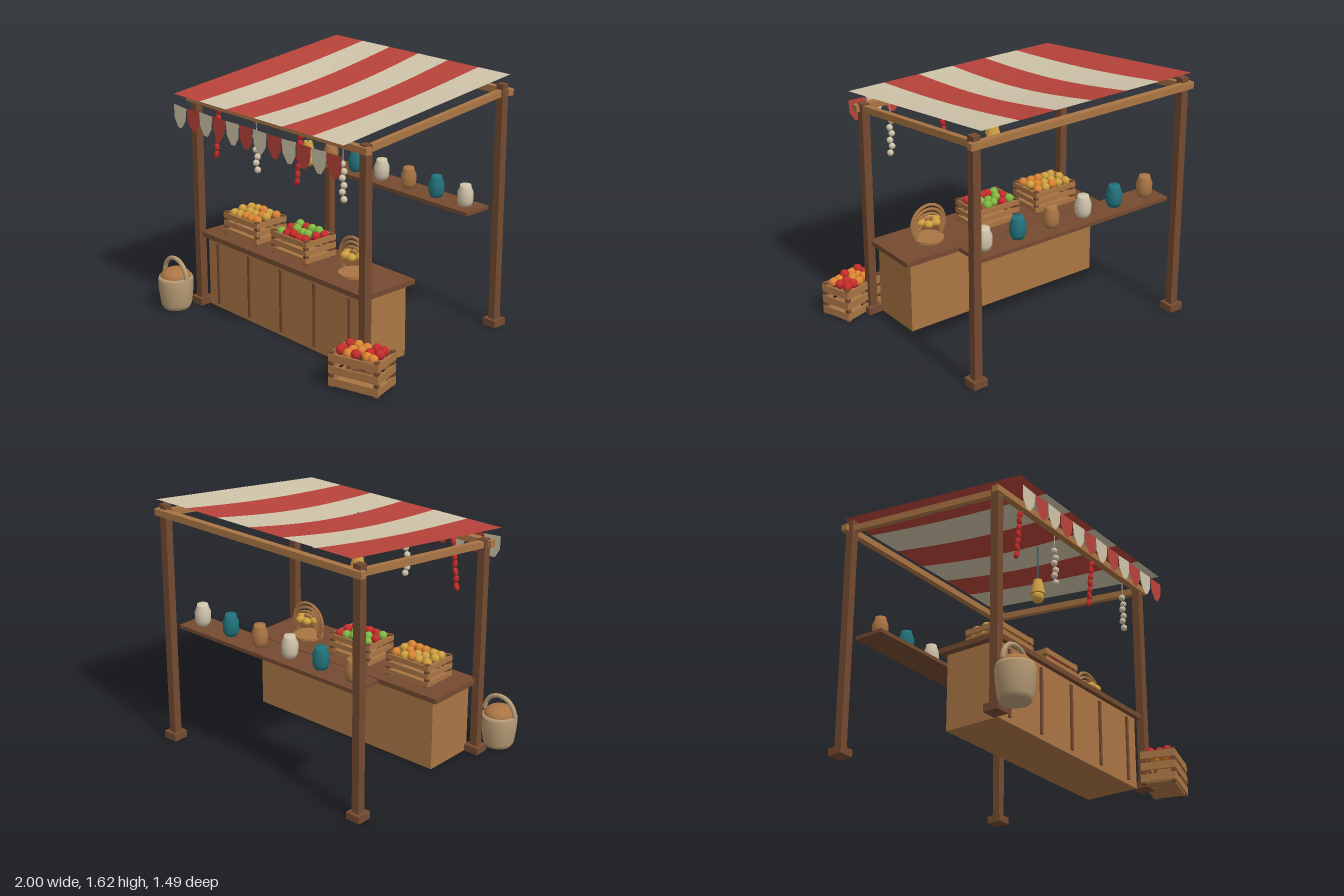
import * as THREE from 'three';

const mat = (name, color, side = THREE.FrontSide) => {
  const m = new THREE.MeshStandardMaterial({ color, side });
  m.name = name;
  return m;
};

export function createModel() {
  const root = new THREE.Group();
  root.name = 'marketStall';

  const darkWood = mat('dark wood', 0x744a30);
  const wood = mat('light wood', 0xaa7544);
  const redCloth = mat('red cloth', 0xb8433a, THREE.DoubleSide);
  const cream = mat('cream', 0xd0c4aa, THREE.DoubleSide);
  const teal = mat('teal', 0x22727a);
  const gold = mat('gold', 0xd0a040);
  const orange = mat('orange', 0xdc8432);
  const red = mat('fruit red', 0xc42c2a);
  const green = mat('fruit green', 0x82b842);
  const burlap = mat('burlap', 0xb89c76);

  let seed = 7;
  const rand = () => (seed = (seed * 16807) % 2147483647) / 2147483647;

  const add = (parent, name, geo, material, x = 0, y = 0, z = 0) => {
    const m = new THREE.Mesh(geo, material);
    m.name = name;
    m.position.set(x, y, z);
    parent.add(m);
    return m;
  };
  const box = (parent, name, material, w, h, d, x, y, z) =>
    add(parent, name, new THREE.BoxGeometry(w, h, d), material, x, y, z);
  const group = (name, x = 0, y = 0, z = 0) => {
    const g = new THREE.Group();
    g.name = name;
    g.position.set(x, y, z);
    root.add(g);
    return g;
  };
  const lathe = (pts, n) => new THREE.LatheGeometry(pts.map(p => new THREE.Vector2(...p)), n);

  // Frame: posts with feet, cross beams and sloping side beams
  const cx = -0.04, frontZ = 0.456, backZ = -0.68;
  const frame = group('frame');
  for (const s of [-1, 1]) {
    const x = cx + s * 0.775;
    for (const [z, h] of [[frontZ, 1.42], [backZ, 1.575]]) {
      box(frame, 'post', darkWood, 0.052, h, 0.052, x, h / 2, z);
      box(frame, 'postFoot', darkWood, 0.1, 0.046, 0.1, x, 0.023, z);
    }
    const rise = 0.135, run = frontZ - backZ;
    const beam = box(frame, 'sideBeam', wood, 0.036, 0.042, Math.hypot(rise, run) + 0.06,
      x, 1.455, (frontZ + backZ) / 2);
    beam.rotation.x = Math.atan2(rise, run);
  }
  box(frame, 'frontBeam', wood, 1.65, 0.042, 0.042, cx, 1.39, frontZ + 0.022);
  box(frame, 'backBeam', wood, 1.65, 0.042, 0.042, cx, 1.525, backZ - 0.026);

  // Canopy: six striped strips that sag in the middle
  const canopy = group('canopy');
  const x0 = -0.82, width = 1.555, stripe = width / 6;
  for (let i = 0; i < 6; i++) {
    const geo = new THREE.PlaneGeometry(stripe, 1, 4, 14);
    const p = geo.attributes.position;
    for (let k = 0; k < p.count; k++) {
      const x = x0 + (i + 0.5) * stripe + p.getX(k);
      const u = (x - x0) / width, v = p.getY(k) + 0.5;
      const sag = 0.035 * Math.sin(Math.PI * u) * Math.sin(Math.PI * v);
      p.setXYZ(k, x, 1.445 + 0.175 * v - sag, 0.627 - 1.375 * v);
    }
    geo.computeVertexNormals();
    add(canopy, 'canopyStripe', geo, i % 2 ? cream : redCloth);
  }

  // Row of hanging flags
  const flag = new THREE.Shape();
  flag.moveTo(-0.064, 0);
  flag.lineTo(-0.056, -0.085);
  flag.lineTo(-0.018, -0.14);
  flag.lineTo(0.018, -0.14);
  flag.lineTo(0.056, -0.085);
  flag.lineTo(0.064, 0);
  const flagGeo = new THREE.ShapeGeometry(flag);
  const bunting = group('bunting');
  for (let i = 0; i < 12; i++) {
    const f = add(bunting, 'flag', flagGeo, i % 2 ? redCloth : cream, -0.745 + i * 0.1285, 1.38, 0.636);
    f.rotation.z = (rand() - 0.5) * 0.14;
  }

  // Sausage strings and garlic strings on the front beam
  const link = new THREE.SphereGeometry(1, 10, 8);
  for (const x of [-0.605, 0.165]) {
    const g = group('sausageString', x, 0, frontZ);
    for (let i = 0; i < 7; i++) {
      const l = add(g, 'sausage', link, red, 0.018 - i * 0.006, 1.35 - i * 0.048, 0);
      l.scale.set(0.017, 0.029, 0.017);
      l.rotation.z = i % 2 ? 0.15 : -0.3;
    }
  }
  for (const x of [-0.225, 0.548]) {
    const g = group('garlicString', x, 0, frontZ);
    add(g, 'string', new THREE.CylinderGeometry(0.003, 0.003, 0.33, 5), cream, 0, 1.215, 0);
    for (let i = 0; i < 6; i++)
      add(g, 'garlic', link, cream, i % 2 ? 0.007 : -0.007, 1.26 - i * 0.042, 0).scale.setScalar(0.021);
  }

  // Hanging lamp
  const lamp = group('lamp', -0.043, 0, 0.2);
  add(lamp, 'lampCord', new THREE.CylinderGeometry(0.005, 0.005, 0.26, 6), teal, 0, 1.345, 0);
  add(lamp, 'lampShade', new THREE.CylinderGeometry(0.027, 0.049, 0.1, 12), gold, 0, 1.17, 0);
  add(lamp, 'lampBulb', new THREE.SphereGeometry(0.04, 14, 10), gold, 0, 1.1, 0);

  // Counter with battens
  const counter = group('counter', cx, 0, 0.25);
  box(counter, 'counterBody', wood, 1.445, 0.468, 0.36, 0, 0.234, 0);
  box(counter, 'counterTop', darkWood, 1.535, 0.032, 0.42, 0, 0.484, 0);
  for (let i = -2; i <= 2; i++)
    box(counter, 'batten', darkWood, 0.019, 0.415, 0.016, i * 0.31, 0.237, 0.184);

  // Back shelf with jars
  const shelf = group('shelf', cx, 0, -0.55);
  box(shelf, 'shelfBoard', darkWood, 1.445, 0.024, 0.205, 0, 0.778, 0);
  const jarGeo = lathe([[0, 0], [0.037, 0], [0.05, 0.03], [0.052, 0.085], [0.037, 0.122],
    [0.035, 0.138], [0, 0.138]], 12);
  for (let i = 0; i < 6; i++)
    add(shelf, 'jar', jarGeo, [wood, teal, cream][i % 3], (i - 2.5) * 0.2475, 0.79, 0);

  // Slatted crate filled with one layer of fruit
  const crate = (name, x, y, z, w, h, d, fruits, r, turn = 0) => {
    const g = group(name, x, y, z);
    g.rotation.y = turn;
    const t = 0.012, slat = h * 0.22;
    box(g, 'crateFloor', wood, w - 0.03, 0.012, d - 0.03, 0, 0.012, 0);
    for (const s of [-1, 1]) {
      for (const q of [-1, 1])
        box(g, 'cratePost', darkWood, 0.026, h, 0.026, s * (w / 2 - 0.016), h / 2, q * (d / 2 - 0.016));
      for (let i = 0; i < 3; i++) {
        const sy = h * (0.16 + i * 0.34);
        box(g, 'longSlat', wood, w - 0.004, slat, t, 0, sy, s * (d / 2 - t / 2));
        box(g, 'endSlat', wood, t, slat, d - 0.004, s * (w / 2 - t / 2), sy, 0);
      }
    }
    const ball = new THREE.SphereGeometry(r, 12, 9);
    for (let i = 0; i < 5; i++)
      for (let j = 0; j < 3; j++)
        add(g, 'fruit', ball, fruits[Math.floor(rand() * fruits.length)],
          (i - 2) * (w - 0.1) / 4 + (rand() - 0.5) * 0.015, h - 0.012 + rand() * 0.015,
          (j - 1) * (d - 0.1) / 2 + (rand() - 0.5) * 0.015);
  };
  crate('orangeCrate', -0.506, 0.5, 0.25, 0.335, 0.152, 0.25, [orange, orange, gold], 0.029);
  crate('appleCrate', -0.038, 0.5, 0.25, 0.33, 0.152, 0.25, [red, red, green], 0.029);
  crate('floorCrate', 0.815, 0, 0.553, 0.33, 0.222, 0.22, [red, red, orange], 0.03, 0.29);

  // Hooped basket on the counter
  const hoops = group('hoopBasket', 0.425, 0, 0.25);
  add(hoops, 'basketBase', new THREE.CylinderGeometry(0.1, 0.1, 0.016, 20), wood, 0, 0.508, 0);
  for (let i = 0; i < 5; i++)
    add(hoops, 'hoop', new THREE.TorusGeometry(0.092 + i * 0.008, 0.011, 6, 28), wood, 0, 0.52 + i * 0.022, 0);
  for (let i = 0; i < 6; i++) {
    const a = i * Math.PI / 3;
    add(hoops, 'roll', link, gold, 0.055 * Math.cos(a), 0.625, 0.055 * Math.sin(a)).scale.set(0.032, 0.026, 0.03);
  }

  // Large basket on the ground
  const basket = group('groundBasket', -0.87, 0, 0.628);
  add(basket, 'basketBody', lathe([[0, 0], [0.085, 0], [0.1, 0.03], [0.113, 0.13], [0.115, 0.2],
    [0.108, 0.218], [0, 0.218]], 20), burlap);
  add(basket, 'grain', new THREE.SphereGeometry(0.102, 20, 8, 0, Math.PI * 2, 0, Math.PI / 2), wood, 0, 0.212, 0)
    .scale.y = 0.6;
  add(basket, 'basketHandle', new THREE.TorusGeometry(0.115, 0.015, 8, 24, Math.PI), burlap, 0, 0.22, 0);

  return root;
}
